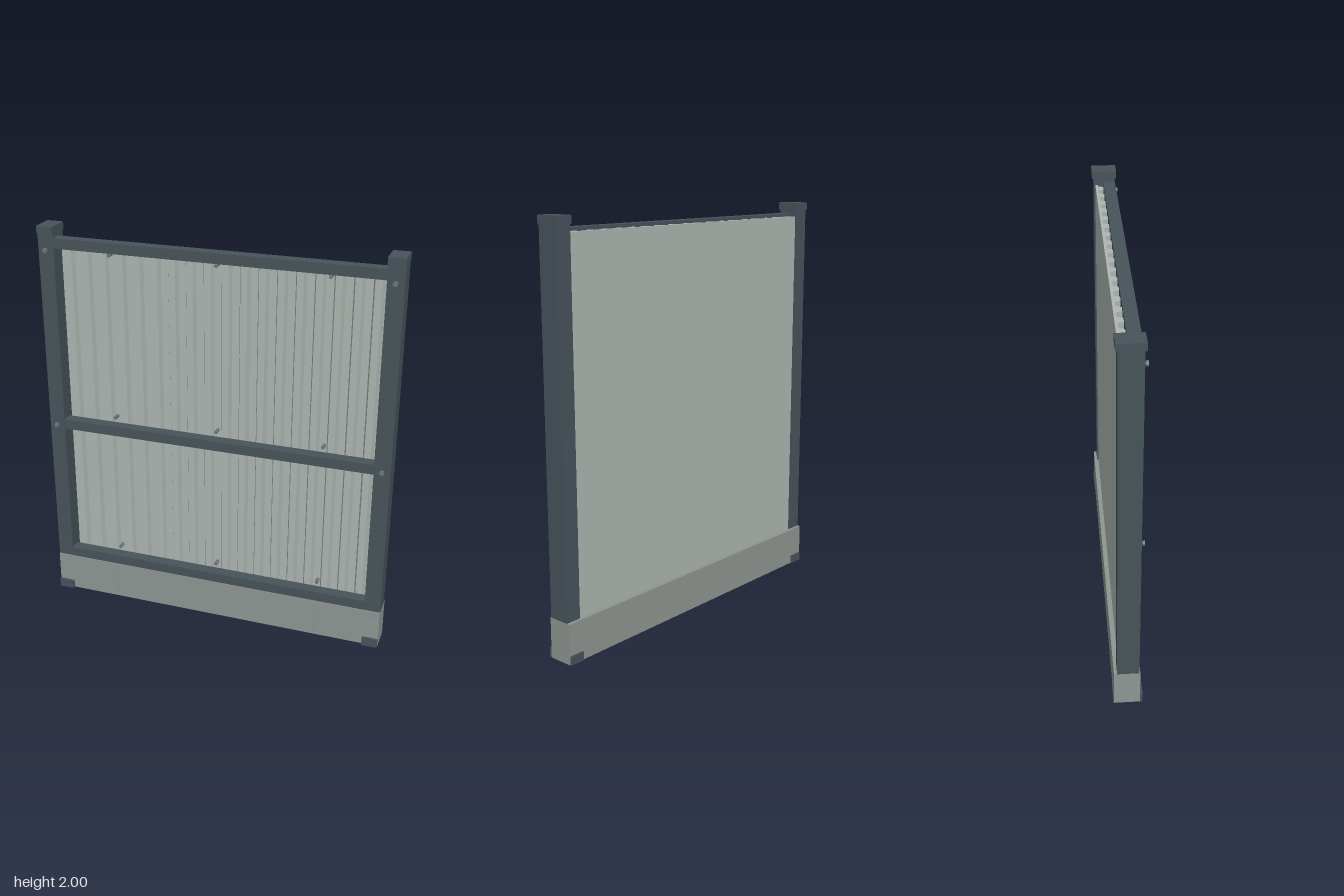
import * as THREE from 'three';

const mat = (color) => new THREE.MeshStandardMaterial({ color, flatShading: true });

export function createModel() {
  const group = new THREE.Group();
  const steel = mat(0x47535a), sheet = mat(0xaeb6b2), concrete = mat(0x8f9692), screwMat = mat(0x6c777a);

  const add = (name, geometry, material) => {
    const mesh = new THREE.Mesh(geometry, material);
    mesh.name = name;
    group.add(mesh);
    return mesh;
  };
  // box given by its limits on each axis
  const box = (name, [x0, x1], [y0, y1], [z0, z1], material) => {
    const mesh = add(name, new THREE.BoxGeometry(x1 - x0, y1 - y0, z1 - z0), material);
    mesh.position.set((x0 + x1) / 2, (y0 + y1) / 2, (z0 + z1) / 2);
    return mesh;
  };
  // round screw head facing the front
  const screw = (name, x, y, z, radius, length) => {
    const geo = new THREE.CylinderGeometry(radius, radius, length, 10).rotateX(Math.PI / 2);
    add(name, geo, screwMat).position.set(x, y, z + length / 2);
  };

  // concrete plinth with raised joint strips
  box('plinth', [-0.88, 0.88], [0.002, 0.2], [-0.067, 0.058], concrete);
  for (const x of [-0.54, 0, 0.54])
    box('plinthJoint', [x - 0.002, x + 0.002], [0.02, 0.185], [0.056, 0.061], concrete);

  // posts with caps, feet and bolts on both ends
  for (const s of [-1, 1]) {
    const span = (a, b) => (s > 0 ? [a, b] : [-b, -a]);
    box('post', span(0.8, 0.88), [0.2, 1.965], [-0.052, 0.053], steel);
    box('postCap', span(0.799, 0.881), [1.963, 2], [-0.061, 0.061], steel);
    box('foot', span(0.8, 0.879), [0, 0.045], [-0.071, 0.071], steel);
    box('plinthPin', span(0.83, 0.85), [0.128, 0.134], [0.056, 0.063], concrete);
    for (const y of [0.975, 1.885]) {
      screw('postBolt', s * 0.84, y, 0.05, 0.007, 0.012);
      screw('postBoltHead', s * 0.84, y, 0.06, 0.012, 0.01);
    }
  }

  // horizontal rails
  for (const y of [0.2, 0.955, 1.895])
    box('rail', [-0.8, 0.8], [y, y + 0.05], [-0.005, 0.054], steel);

  // sheet panel: ribbed in front, flat at the back
  const ribs = 18, pitch = 1.6 / ribs, back = -0.044, low = -0.032, high = -0.006;
  const outline = new THREE.Shape();
  outline.moveTo(-0.8, -back);
  outline.lineTo(-0.8, -low);
  for (let i = 0; i < ribs; i++) {
    const x = -0.8 + i * pitch;
    outline.lineTo(x + pitch * 0.2, -low);
    outline.lineTo(x + pitch * 0.32, -high);
    outline.lineTo(x + pitch * 0.68, -high);
    outline.lineTo(x + pitch * 0.8, -low);
  }
  outline.lineTo(0.8, -low);
  outline.lineTo(0.8, -back);
  const panel = new THREE.ExtrudeGeometry(outline, { depth: 1.73, bevelEnabled: false });
  panel.rotateX(-Math.PI / 2);
  add('ribbedPanel', panel, sheet).position.y = 0.2;

  // small screws that hold the sheet beside each rail
  for (const y of [0.275, 1.03, 1.87])
    for (const x of [-0.54, 0, 0.54]) screw('panelScrew', x, y, -0.032, 0.009, 0.034);

  return group;
}
